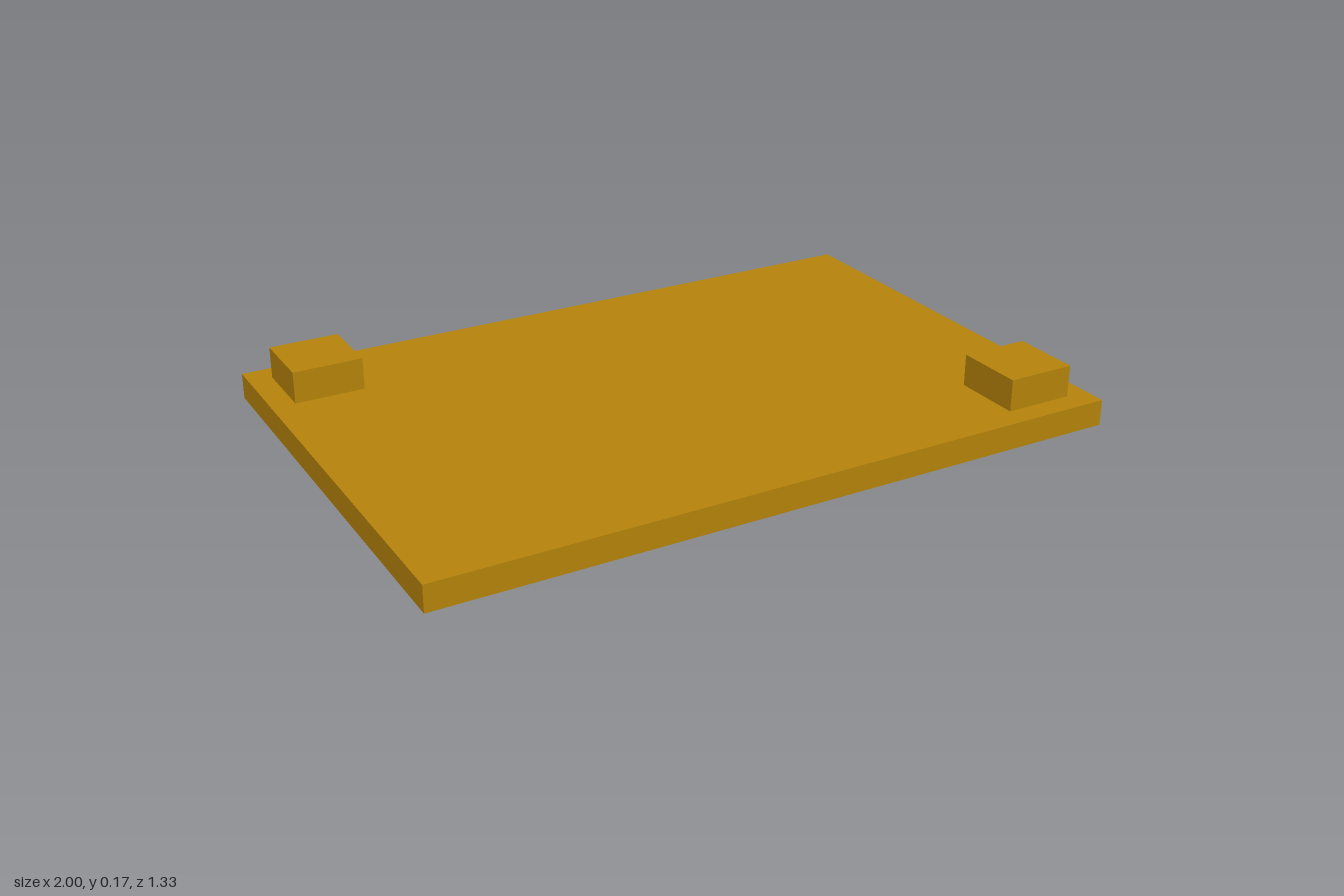
import * as THREE from 'three';

export function createModel() {
  const model = new THREE.Group();
  const gold = new THREE.MeshStandardMaterial({ color: 0xb8860b });

  // Adds a box standing on height y
  function addBox(name, width, height, depth, x, y, z) {
    const mesh = new THREE.Mesh(new THREE.BoxGeometry(width, height, depth), gold);
    mesh.name = name;
    mesh.position.set(x, y + height / 2, z);
    model.add(mesh);
  }

  // Flat base plate
  const plateHeight = 0.075;
  addBox('basePlate', 2, plateHeight, 1.333, 0, 0, 0);

  // Square blocks on two opposite corners
  for (const [name, side] of [['frontLeftBlock', 1], ['backRightBlock', -1]]) {
    addBox(name, 0.2, 0.092, 0.2, side * 0.833, plateHeight, side * 0.5);
  }

  return model;
}
